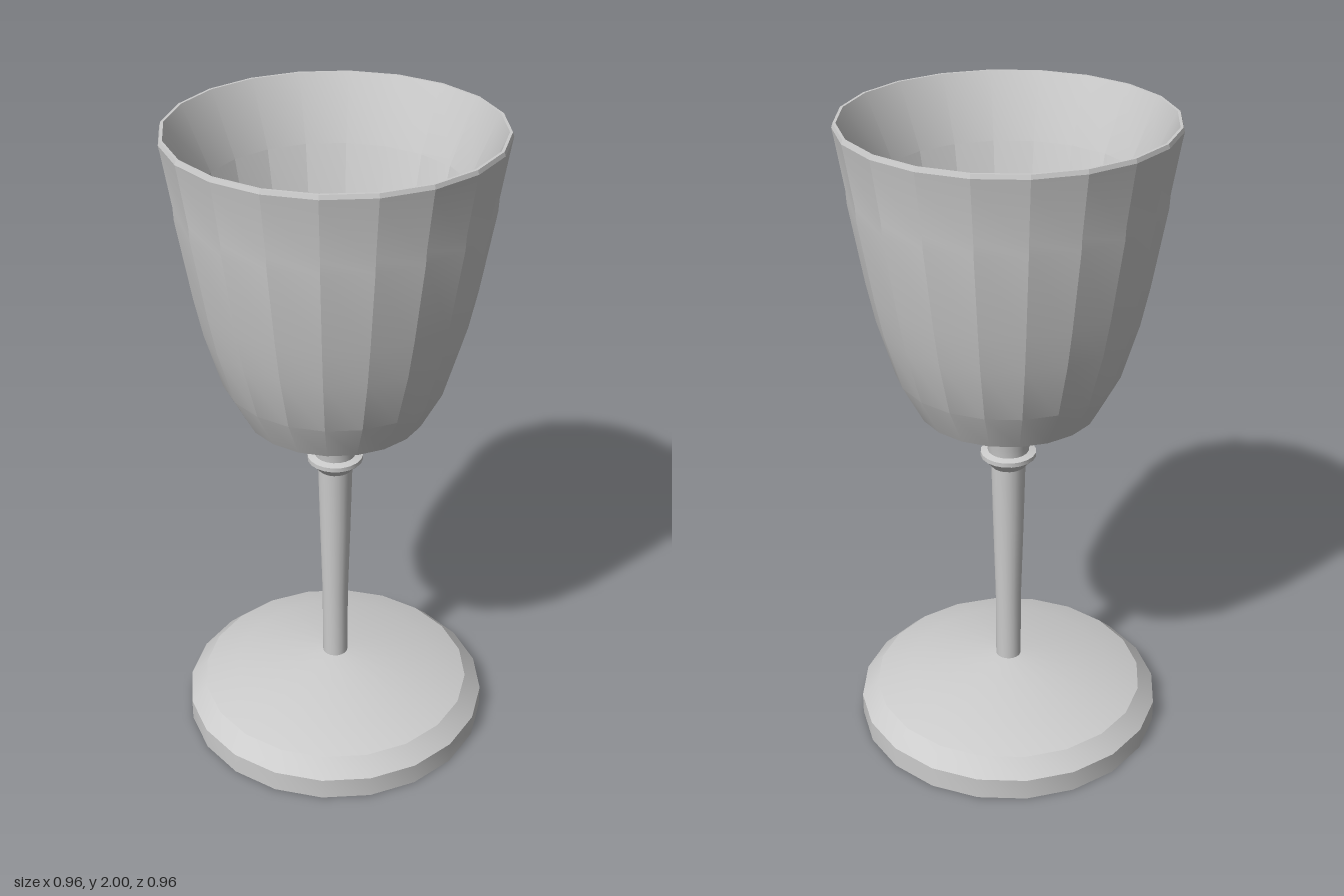
import * as THREE from 'three';
import { toCreasedNormals } from 'three/addons/utils/BufferGeometryUtils.js';

const SIDES = 20;

// Turns a [radius, height] profile, listed bottom to top on the outside
function turned(name, profile, creaseDegrees) {
  const points = profile.map(([r, y]) => new THREE.Vector2(r, y));
  const geometry = toCreasedNormals(
    new THREE.LatheGeometry(points, SIDES),
    THREE.MathUtils.degToRad(creaseDegrees)
  );
  const mesh = new THREE.Mesh(geometry, new THREE.MeshStandardMaterial({ color: 0xcccccc }));
  mesh.name = name;
  return mesh;
}

export function createModel() {
  const goblet = new THREE.Group();
  goblet.name = 'goblet';

  // Flat underside, short rim and a shallow domed top
  goblet.add(turned('foot', [
    [0, 0], [0.482, 0], [0.482, 0.07], [0.43, 0.12], [0.32, 0.155], [0.04, 0.205], [0, 0.205],
  ], 20));

  // Slim stem, widening slightly upwards
  goblet.add(turned('stem', [
    [0.04, 0.19], [0.041, 0.44], [0.048, 0.7], [0.053, 0.92],
  ], 30));

  // Raised collar and the flared neck under the bowl
  goblet.add(turned('collar', [
    [0.053, 0.912], [0.068, 0.93], [0.085, 0.946], [0.085, 0.96], [0.063, 0.965],
    [0.066, 0.99], [0.076, 1.045],
  ], 30));

  // Bowl: faceted outside with a faint band, bevelled lip, then the inner wall and floor
  goblet.add(turned('bowl', [
    [0, 1.04], [0.1, 1.04], [0.272, 1.12], [0.335, 1.24], [0.385, 1.41], [0.41, 1.53],
    [0.451, 1.77], [0.453, 1.81], [0.477, 1.96], [0.482, 1.988], [0.478, 2], [0.47, 2],
    [0.385, 1.81], [0.25, 1.14], [0, 1.14],
  ], 16.5));

  return goblet;
}
